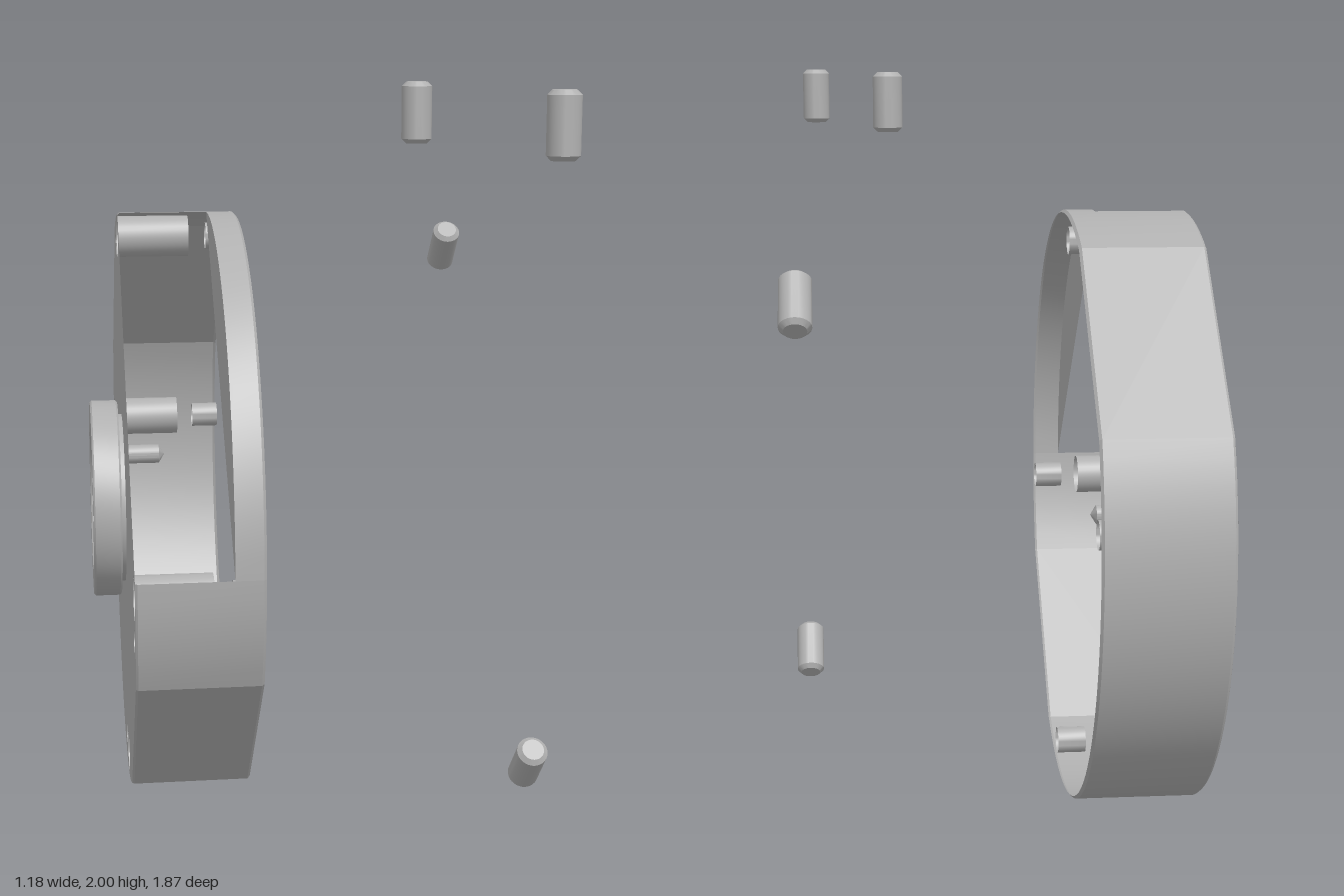
import * as THREE from 'three';
import { toCreasedNormals } from 'three/addons/utils/BufferGeometryUtils.js';

const RAD = Math.PI / 180;
const R = 0.815; // housing radius
const BACK = -0.5, STEP = -0.25, RIM = -0.17; // x of back plate, stepped cap, open rim
const FLAT = 21.2; // half angle of each flat side

export function createModel() {
  const model = new THREE.Group();
  const metal = new THREE.MeshStandardMaterial({ color: 0xb0b0b0, side: THREE.DoubleSide });
  metal.name = 'grey metal';

  const housing = new THREE.Group();
  housing.name = 'housing';
  housing.position.set(0, 0.8175, -0.12);
  model.add(housing);

  function add(parent, name, geometry) {
    const mesh = new THREE.Mesh(geometry, metal);
    mesh.name = name;
    parent.add(mesh);
    return mesh;
  }

  // Lathe about the x axis; profile is [radius, x], angles run from +z towards +y
  function latheX(profile, from = 0, to = 360, segments = 64) {
    const points = profile.map(([r, x]) => new THREE.Vector2(r, x));
    const geo = new THREE.LatheGeometry(points, segments, -to * RAD, (to - from) * RAD);
    geo.rotateZ(-Math.PI / 2);
    return toCreasedNormals(geo, 0.45);
  }

  // Flat sheet drawn in (z, y), placed at x
  function sheet(shape, x) {
    return new THREE.ShapeGeometry(shape, 48).rotateY(-Math.PI / 2).translate(x, 0, 0);
  }

  const circle = (z, y, r) => new THREE.Path().absarc(z, y, r, 0, Math.PI * 2, true);

  const bosses = [[-0.09, 0.742], [-0.74, 0.092], [0.095, -0.733], [0.745, -0.083]];
  const blindHoles = [[-0.21, 0.707], [-0.73, -0.033], [-0.035, -0.728], [0.705, -0.208]];

  // Back plate with two flats, one chord cut and its holes
  const plate = new THREE.Shape();
  const arcs = [[92, 135 - FLAT], [135 + FLAT, 315 - FLAT], [315 + FLAT, 358]];
  for (const [a, b] of arcs) plate.absarc(0, 0, R - 0.005, a * RAD, b * RAD, false);
  plate.closePath();
  plate.holes.push(circle(0, 0, 0.21));
  for (const [z, y] of bosses) plate.holes.push(circle(z, y, 0.058));
  for (const [z, y] of blindHoles) plate.holes.push(circle(z, y, 0.03));
  add(housing, 'backPlate', sheet(plate, BACK));

  // Raised cap behind the cut segment
  const cap = new THREE.Shape();
  cap.absarc(0, 0, R, -2 * RAD, 92 * RAD, false);
  cap.closePath();
  add(housing, 'segmentCap', sheet(cap, STEP));

  // Side wall: curved lengths, flats, and the narrow strip over the cut segment
  const wall = [[R - 0.005, BACK], [R, BACK + 0.006], [R, RIM - 0.007], [R - 0.007, RIM]];
  const strip = [[R, STEP], [R, RIM - 0.007], [R - 0.007, RIM]];
  for (const [a, b] of arcs) add(housing, 'curvedWall', latheX(wall, a, b, Math.ceil((b - a) / 4)));
  for (const a of [135, 315]) add(housing, 'flatWall', latheX(wall, a - FLAT, a + FLAT, 1));
  add(housing, 'rimStrip', latheX(strip, -2, 92, 24));

  // Central bearing flange with stepped bore
  add(housing, 'bearingFlange', latheX([
    [0.24, -0.5], [0.24, -0.512], [0.275, -0.512], [0.28, -0.517], [0.28, -0.585],
    [0.275, -0.59], [0.205, -0.59], [0.2, -0.585], [0.2, -0.535], [0.16, -0.535],
    [0.16, -0.522], [0.105, -0.522], [0.105, -0.506], [0.16, -0.506], [0.16, -0.503],
    [0.195, -0.503], [0.195, -0.515], [0.21, -0.515], [0.21, -0.5],
  ]));

  // Open screw tubes, each with a narrower tube in line near the rim
  for (const [z, y] of bosses) {
    add(housing, 'screwTube', latheX([[0.058, BACK], [0.058, -0.3]], 0, 360, 32)).position.set(0, y, z);
    add(housing, 'narrowTube', latheX([[0.037, STEP], [0.037, RIM]], 0, 360, 32)).position.set(0, y, z);
  }

  // Blind dowel holes with conical ends
  for (const [z, y] of blindHoles) {
    add(housing, 'blindHole', latheX([[0.03, BACK], [0.03, -0.36], [0, -0.342]], 0, 360, 24))
      .position.set(0, y, z);
  }

  // Loose dowel pins with chamfered ends
  const L = 0.082, r = 0.041, c = 0.012;
  const pinGeo = toCreasedNormals(new THREE.LatheGeometry(
    [[0, -L], [r - c, -L], [r, -L + c], [r, L - c], [r - c, L], [0, L]]
      .map(([a, b]) => new THREE.Vector2(a, b)), 32), 0.45);
  const pins = [
    [0.3, 1.918, 0.125, 0], [0.505, 1.918, 0.895, 0],
    [0.55, 1.463, -0.735, 45], [0.55, 0.207, 0.525, 45],
  ];
  for (const [x, y, z, tilt] of pins) {
    const pin = add(model, 'dowelPin', pinGeo);
    pin.position.set(x, y, z);
    pin.rotation.x = tilt * RAD;
  }
  return model;
}
